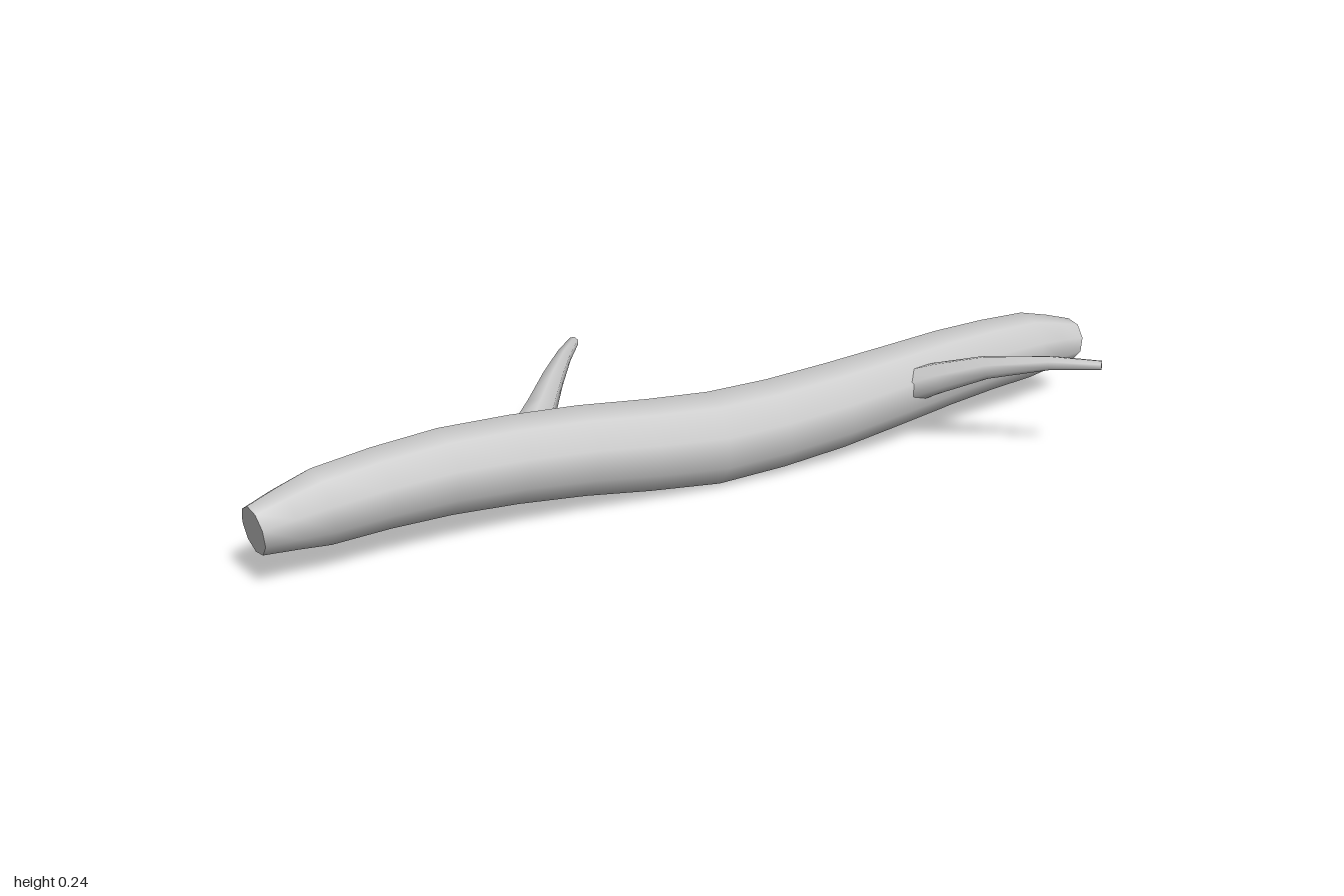
import * as THREE from 'three';

// Lofts a round limb along rows of [x, y, z, radius], smooth sides and flat sawn ends.
function limb(name, rows, sides, perSpan, material) {
  const curve = new THREE.CatmullRomCurve3(rows.map(([x, y, z]) => new THREE.Vector3(x, y, z)));
  const spans = rows.length - 1;
  const rings = spans * perSpan;
  const up = new THREE.Vector3(0, 1, 0);
  const positions = [];
  const index = [];

  for (let i = 0; i <= rings; i++) {
    const t = i / rings;
    const span = Math.min(Math.floor(i / perSpan), spans - 1);
    const radius = THREE.MathUtils.lerp(rows[span][3], rows[span + 1][3], i / perSpan - span);
    const centre = curve.getPoint(t);
    const tangent = curve.getTangent(t);
    const side = tangent.clone().cross(up).normalize();
    const top = side.clone().cross(tangent);
    for (let k = 0; k < sides; k++) {
      const a = ((k + 0.5) / sides) * Math.PI * 2;
      const p = centre.clone()
        .addScaledVector(side, radius * Math.cos(a))
        .addScaledVector(top, radius * Math.sin(a));
      positions.push(p.x, p.y, p.z);
    }
  }
  for (let i = 0; i < rings; i++) {
    for (let k = 0; k < sides; k++) {
      const a = i * sides + k;
      const b = i * sides + ((k + 1) % sides);
      index.push(a, a + sides, b, b, a + sides, b + sides);
    }
  }

  // End caps on their own vertices, so the rims stay sharp
  for (const ring of [0, rings]) {
    const start = positions.length / 3;
    positions.push(...positions.slice(ring * sides * 3, (ring + 1) * sides * 3));
    for (let k = 1; k < sides - 1; k++) {
      if (ring === 0) index.push(start, start + k, start + k + 1);
      else index.push(start, start + k + 1, start + k);
    }
  }

  const geometry = new THREE.BufferGeometry();
  geometry.setAttribute('position', new THREE.Float32BufferAttribute(positions, 3));
  geometry.setIndex(index);
  geometry.computeVertexNormals();
  const mesh = new THREE.Mesh(geometry, material);
  mesh.name = name;
  return mesh;
}

export function createModel() {
  const group = new THREE.Group();
  group.name = 'fallenLog';
  const wood = new THREE.MeshStandardMaterial({ color: 0xcccccc });

  // Wavy trunk, tapering at both ends
  group.add(limb('trunk', [
    [-0.995, 0.128, 0.02, 0.05],
    [-0.86, 0.14, 0.005, 0.078],
    [-0.6, 0.151, -0.004, 0.089],
    [-0.3, 0.132, 0.002, 0.095],
    [0, 0.104, 0.025, 0.1],
    [0.3, 0.122, 0.04, 0.096],
    [0.6, 0.147, 0.03, 0.087],
    [0.85, 0.149, 0.013, 0.077],
    [0.995, 0.136, 0.009, 0.049],
  ], 9, 2, wood));

  // Two curved branch stubs, thinning toward the tip
  group.add(limb('backBranch', [
    [-0.385, 0.165, -0.05, 0.046],
    [-0.335, 0.183, -0.11, 0.036],
    [-0.26, 0.21, -0.2, 0.026],
    [-0.185, 0.218, -0.295, 0.018],
    [-0.12, 0.215, -0.375, 0.012],
  ], 7, 1, wood));
  group.add(limb('frontBranch', [
    [0.465, 0.145, 0.08, 0.04],
    [0.52, 0.174, 0.13, 0.035],
    [0.595, 0.207, 0.2, 0.026],
    [0.69, 0.23, 0.295, 0.016],
    [0.77, 0.235, 0.373, 0.01],
  ], 7, 1, wood));

  return group;
}
